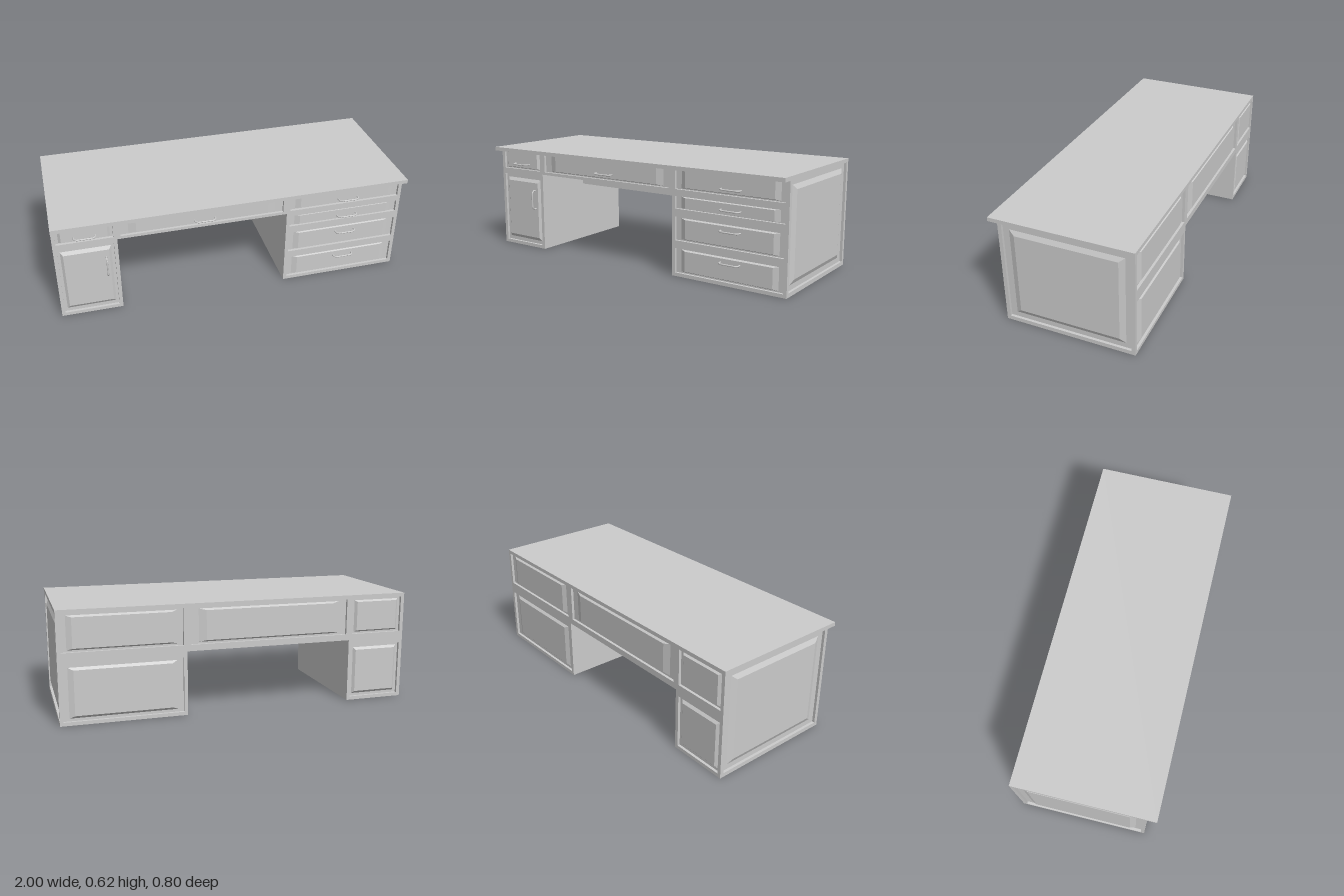
import * as THREE from 'three';

const D = 0.015;                 // depth of the recessed panels
const FRONT = 0.343, BACK = -0.4;
const KNEE_L = -0.655, KNEE_R = 0.305;
const grey = new THREE.MeshStandardMaterial({ color: 0xcccccc });

function add(parent, geometry, name) {
  const mesh = new THREE.Mesh(geometry, grey);
  mesh.name = name;
  parent.add(mesh);
  return mesh;
}

function box(parent, name, x0, x1, y0, y1, z0, z1) {
  const g = new THREE.BoxGeometry(x1 - x0, y1 - y0, z1 - z0);
  g.translate((x0 + x1) / 2, (y0 + y1) / 2, (z0 + z1) / 2);
  return add(parent, g, name);
}

// Raised field with bevels in proportion to the size of its panel
function raisedField(parent, [x0, x1, y0, y1], name) {
  const w = x1 - x0, h = y1 - y0, depth = 0.012;
  let g = new THREE.BoxGeometry(w * 0.9, h * 0.9, depth);
  const p = g.attributes.position;
  for (let i = 0; i < p.count; i++) {
    if (p.getZ(i) > 0) p.setXY(i, p.getX(i) * 0.9, p.getY(i) * 0.9);
  }
  g = g.toNonIndexed();
  g.computeVertexNormals();
  g.translate((x0 + x1) / 2, (y0 + y1) / 2, depth / 2);
  add(parent, g, name);
}

// Frame plate with rectangular openings, each filled with a raised field
function panelledFace(name, outline, panels) {
  const face = new THREE.Group();
  face.name = name;
  const shape = new THREE.Shape(outline.map(([x, y]) => new THREE.Vector2(x, y)));
  for (const [x0, x1, y0, y1] of panels) {
    const hole = new THREE.Path();
    hole.moveTo(x0, y0).lineTo(x0, y1).lineTo(x1, y1).lineTo(x1, y0).closePath();
    shape.holes.push(hole);
  }
  add(face, new THREE.ExtrudeGeometry(shape, { depth: D, bevelEnabled: false }), name + 'Frame');
  panels.forEach((r, i) => raisedField(face, r, name + 'Panel' + (i + 1)));
  return face;
}

// Desk outline with the knee opening cut up to a given height
function deskOutline(kneeTop, x0, x1) {
  return [[-1, 0], [x0, 0], [x0, kneeTop], [x1, kneeTop], [x1, 0], [1, 0], [1, 0.61], [-1, 0.61]];
}

// Bowed pull handle
function handle(parent, name, x, y, vertical) {
  const pts = [[-0.058, -0.015], [-0.058, 0.012], [-0.053, 0.02], [-0.042, 0.027],
    [0.042, 0.027], [0.053, 0.02], [0.058, 0.012], [0.058, -0.015]]
    .map(([u, z]) => new THREE.Vector3(u, 0, z));
  const path = new THREE.CurvePath();
  for (let i = 1; i < pts.length; i++) path.add(new THREE.LineCurve3(pts[i - 1], pts[i]));
  const m = add(parent, new THREE.TubeGeometry(path, 48, 0.0045, 8, false), name);
  m.position.set(x, y, FRONT);
  if (vertical) m.rotation.z = Math.PI / 2;
}

export function createModel() {
  const desk = new THREE.Group();
  desk.name = 'desk';

  // Desktop and solid carcass
  box(desk, 'desktop', -1, 1, 0.6, 0.622, -0.4, 0.4);
  const zb = BACK + D, zf = FRONT - D;
  box(desk, 'narrowPedestal', -1 + D, KNEE_L, 0, 0.605, zb, zf);
  box(desk, 'widePedestal', KNEE_R, 1 - D, 0, 0.605, zb, zf);
  box(desk, 'centreDrawerBox', KNEE_L, KNEE_R, 0.47, 0.605, -0.03, zf);
  box(desk, 'rearCabinetBox', KNEE_L, KNEE_R, 0.36, 0.605, zb, -0.03);

  // Front: drawers and door
  const front = panelledFace('front', deskOutline(0.47, KNEE_L, KNEE_R), [
    [-0.98, -0.675, 0.487, 0.6],
    [-0.98, -0.675, 0.02, 0.45],
    [-0.637, 0.283, 0.487, 0.6],
    [0.325, 0.98, 0.487, 0.6],
    [0.325, 0.98, 0.38, 0.45],
    [0.325, 0.98, 0.203, 0.335],
    [0.325, 0.98, 0.02, 0.16],
  ]);
  front.position.z = zf;
  desk.add(front);

  // Back: fixed panels, laid out mirrored
  const back = panelledFace('back', deskOutline(0.36, -KNEE_R, -KNEE_L), [
    [-0.98, -0.325, 0.395, 0.6],
    [-0.98, -0.325, 0.02, 0.328],
    [-0.283, 0.637, 0.395, 0.6],
    [0.675, 0.98, 0.395, 0.6],
    [0.675, 0.98, 0.02, 0.328],
  ]);
  back.rotation.y = Math.PI;
  back.position.z = zb;
  desk.add(back);

  // Ends: one large panel each
  for (const s of [1, -1]) {
    const span = (a, b) => (s > 0 ? [-b, -a] : [a, b]);
    const [u0, u1] = span(zb, zf);
    const end = panelledFace(s > 0 ? 'leftEnd' : 'rightEnd',
      [[u0, 0], [u1, 0], [u1, 0.61], [u0, 0.61]],
      [[...span(-0.378, 0.322), 0.023, 0.6]]);
    end.rotation.y = s * Math.PI / 2;
    end.position.x = s * (1 - D);
    desk.add(end);
  }

  // Handles
  handle(desk, 'smallDrawerHandle', -0.827, 0.52);
  handle(desk, 'centreDrawerHandle', -0.17, 0.52);
  [0.52, 0.41, 0.297, 0.125].forEach((y, i) => handle(desk, 'wideDrawerHandle' + (i + 1), 0.67, y));
  handle(desk, 'doorHandle', -0.723, 0.306, true);

  return desk;
}
